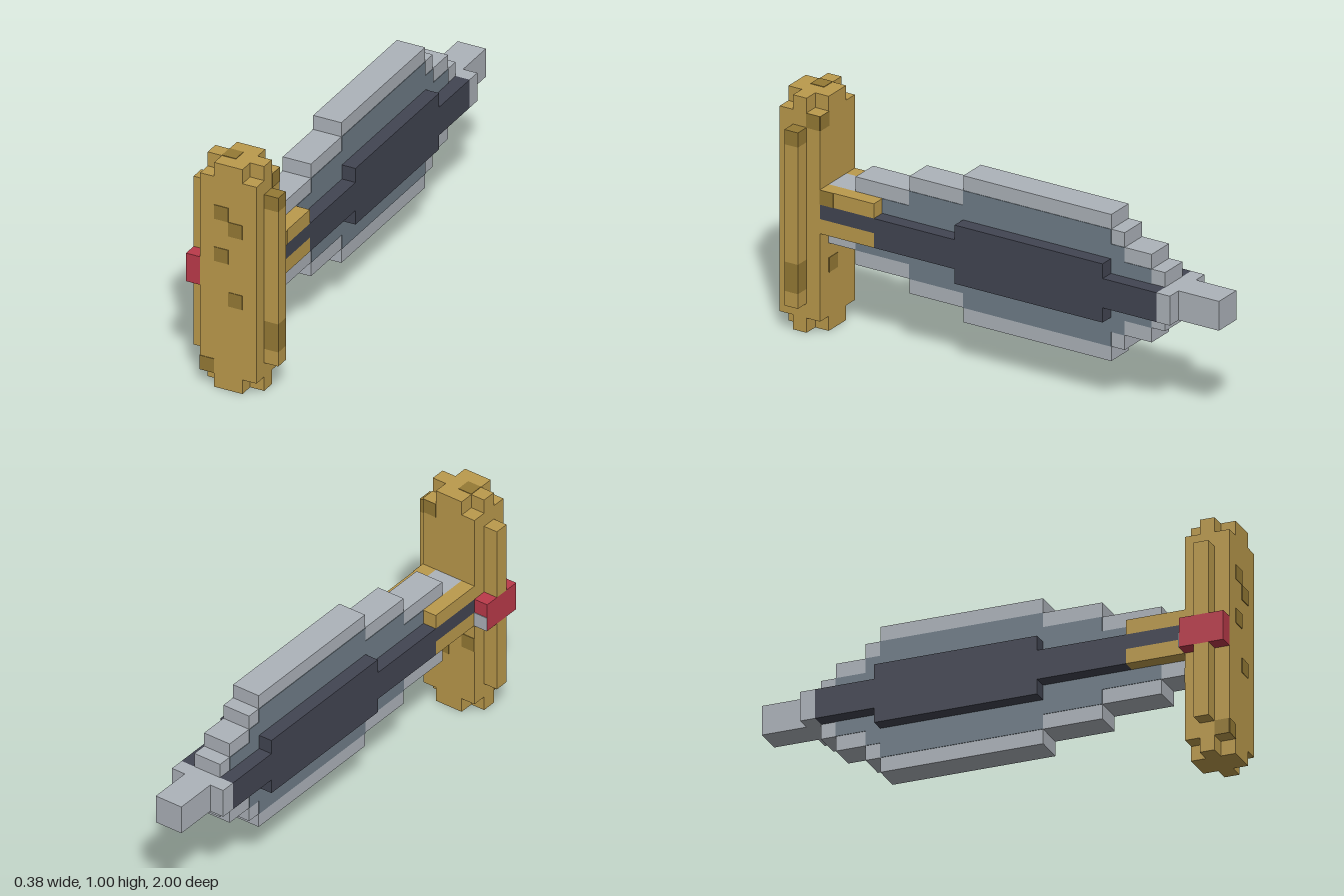
import * as THREE from 'three';

const U = 1 / 16; // one block

const makeMaterial = (name, color) => {
  const m = new THREE.MeshStandardMaterial({ color });
  m.name = name;
  return m;
};

export function createModel() {
  const gold = makeMaterial('gold', 0xbb9a4c);
  const darkGold = makeMaterial('dark gold', 0x957a35);
  const red = makeMaterial('red', 0xbb3a4a);
  const lightGrey = makeMaterial('light grey', 0xadb3ba);
  const slate = makeMaterial('slate', 0x6f7d88);
  const navy = makeMaterial('navy', 0x424552);

  const root = new THREE.Group();
  root.name = 'blockSword';
  const section = (name) => {
    const g = new THREE.Group();
    g.name = name;
    root.add(g);
    return g;
  };

  // Box from its bounds, measured in blocks
  const box = (parent, name, mat, [x0, x1], [y0, y1], [z0, z1]) => {
    const geo = new THREE.BoxGeometry((x1 - x0) * U, (y1 - y0) * U, (z1 - z0) * U);
    const mesh = new THREE.Mesh(geo, mat);
    mesh.name = name;
    mesh.position.set((x0 + x1) / 2 * U, (y0 + y1) / 2 * U, (z0 + z1) / 2 * U);
    parent.add(mesh);
  };
  // The same box on both sides of x = 0
  const pair = (parent, name, mat, [x0, x1], y, z) => {
    box(parent, name + 'Left', mat, [x0, x1], y, z);
    box(parent, name + 'Right', mat, [-x1, -x0], y, z);
  };

  // Guard: tall slab with plus-shaped ends
  const guard = section('guard');
  box(guard, 'guardBody', gold, [-2, 2], [1, 15], [13, 16]);
  for (const y of [0, 15]) {
    box(guard, 'guardEndLong', gold, [-1, 1], [y, y + 1], [13, 16]);
    box(guard, 'guardEndWide', gold, [-2, 2], [y, y + 1], [14, 15]);
  }

  // Side ribs
  for (const [y0, y1, mat] of [[2, 3, gold], [3, 5, darkGold], [5, 13, gold], [13, 14, darkGold]]) {
    box(guard, 'leftRib', mat, [2, 3], [y0, y1], [14, 15]);
  }
  for (const y of [[2, 7], [9, 14]]) box(guard, 'rightRib', gold, [-3, -2], y, [14, 15]);

  // Gem on the right rib
  box(guard, 'gem', red, [-3, -2], [7, 9], [13, 16]);
  const T = 0.04;
  box(guard, 'gemBackPlate', lightGrey, [-3, -2], [7, 8], [13 - T, 13]);

  // Worn spots, as thin plates
  for (const [x, y] of [[-1, 12], [0, 11], [-1, 9], [0, 6], [-2, 1]]) {
    box(guard, 'frontSpot', darkGold, [x, x + 1], [y, y + 1], [16, 16 + T]);
  }
  for (const [x, y] of [[1, 14], [0, 4], [-2, 5]]) {
    box(guard, 'backSpot', darkGold, [x, x + 1], [y, y + 1], [13 - T, 13]);
  }
  box(guard, 'topSpot', darkGold, [-1, 0], [16, 16 + T], [14, 15]);
  box(guard, 'leftSpot', darkGold, [2, 2 + T], [14, 15], [13, 14]);
  box(guard, 'rightSpot', darkGold, [-2 - T, -2], [1, 2], [15, 16]);

  // Collar joining guard and blade
  const collar = section('collar');
  pair(collar, 'collarTop', gold, [1, 2], [9, 10], [9, 13]);
  pair(collar, 'collarInlay', navy, [1, 2], [8, 9], [9, 13]);
  pair(collar, 'collarBottom', gold, [1, 2], [7, 8], [9, 13]);
  box(collar, 'collarSpot', darkGold, [2, 2 + T], [9, 10], [12, 13]);

  // Blade: stepped layers [half height, back z, front z]
  const blade = section('blade');
  for (const [h, z0, z1] of [[2, -12, 13], [3, -11, 11], [4, -9, 7], [5, -8, 3]]) {
    box(blade, 'bladeStep', lightGrey, [-1, 1], [8 - h, 8 + h], [z0, z1]);
  }
  // Darker flat of the blade, inset one block from the edge
  for (const [h, z0, z1] of [[2, -11, 11], [3, -9, 7], [4, -8, 3]]) {
    pair(blade, 'bladeFlat', slate, [1, 1 + T], [8 - h, 8 + h], [z0, z1]);
  }

  // Raised spine on both sides
  pair(blade, 'spine', navy, [1, 2], [7, 9], [-12, 9]);
  pair(blade, 'spineBoss', navy, [1, 2], [6, 10], [-8, 3]);

  // Tip
  box(blade, 'tipCollar', lightGrey, [-2, 2], [7, 9], [-13, -12]);
  box(blade, 'tip', lightGrey, [-1, 1], [7, 9], [-16, -13]);

  return root;
}
